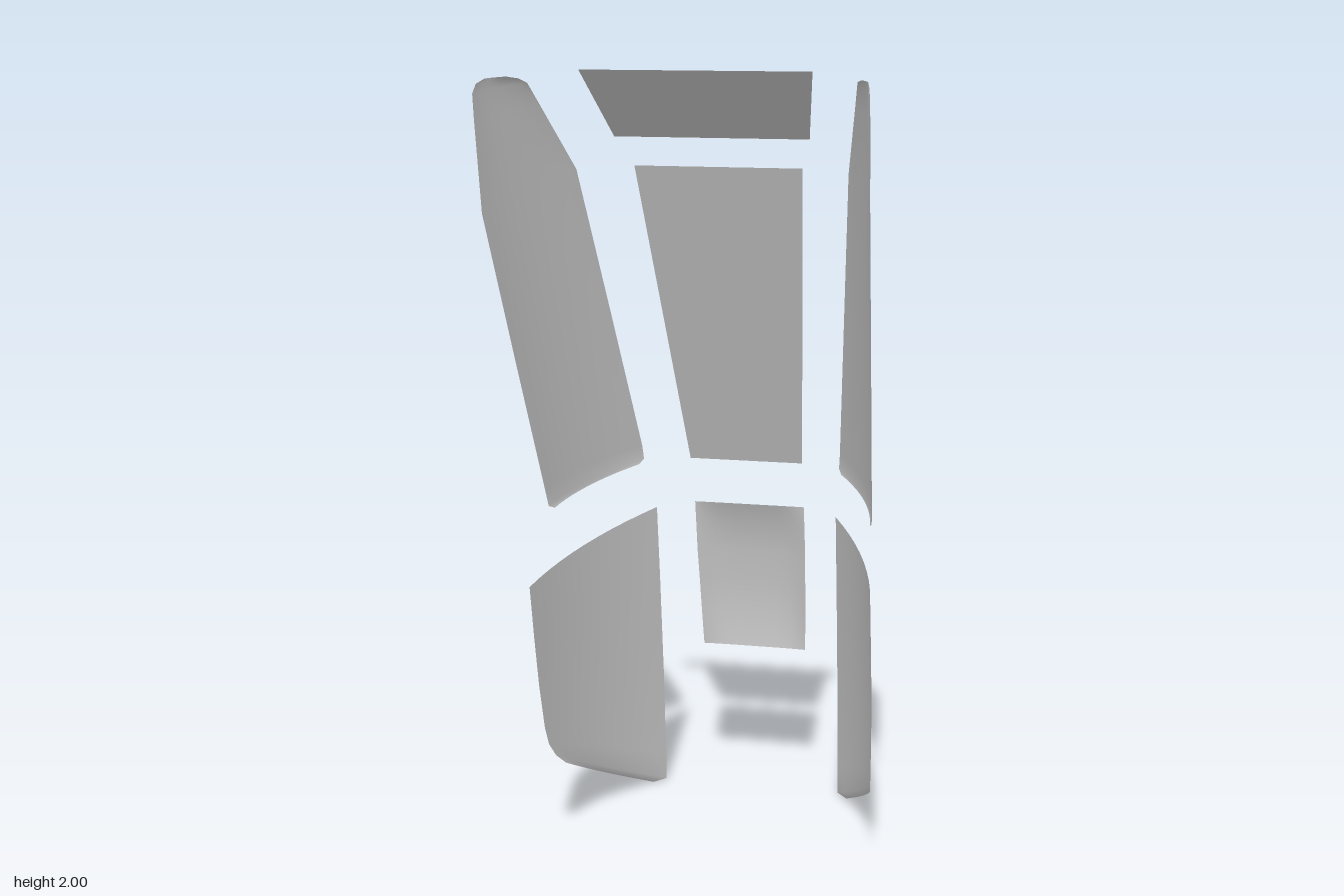
import * as THREE from 'three';

const material = new THREE.MeshStandardMaterial({ color: 0xcccccc, side: THREE.DoubleSide });

// Smooth sheet from a grid of points: rows run bottom to top
function sheet(name, rows) {
  const cols = rows[0].length;
  const index = [];
  for (let j = 0; j < rows.length - 1; j++) {
    for (let i = 0; i < cols - 1; i++) {
      const a = j * cols + i, b = a + cols;
      index.push(a, b, a + 1, a + 1, b, b + 1);
    }
  }
  const geometry = new THREE.BufferGeometry();
  geometry.setAttribute('position', new THREE.Float32BufferAttribute(rows.flat(2), 3));
  geometry.setIndex(index);
  geometry.computeVertexNormals();
  const mesh = new THREE.Mesh(geometry, material);
  mesh.name = name;
  return mesh;
}

// Curved side panel: each rail pair is [x, y, z] on the back edge, then on the front edge
function sidePanel(name, rails, side, bulge, steps = 10) {
  const rows = rails.map(([xb, yb, zb, xf, yf, zf]) => {
    const row = [];
    for (let i = 0; i <= steps; i++) {
      const u = i / steps;
      const out = 4 * u * (1 - u) * bulge * (zf - zb);
      row.push([
        side * (THREE.MathUtils.lerp(xb, xf, u) + out),
        THREE.MathUtils.lerp(yb, yf, u),
        THREE.MathUtils.lerp(zb, zf, u),
      ]);
    }
    return side > 0 ? row : row.reverse();
  });
  return sheet(name, rows);
}

// Flat trapezoid across the middle: [half width, y, z] at the bottom and top
function plate(name, bottom, top) {
  return sheet(name, [bottom, top].map(([w, y, z]) => [[-w, y, z], [w, y, z]]));
}

const upperRails = [
  [0.272, 0.95, -0.27, 0.402, 0.905, 0.065],
  [0.263, 0.962, -0.287, 0.41, 0.915, 0.09],
  [0.266, 1.0, -0.28, 0.412, 0.96, 0.11],
  [0.3, 1.375, -0.115, 0.428, 1.32, 0.275],
  [0.335, 1.755, 0.055, 0.442, 1.685, 0.445],
  [0.375, 1.92, 0.215, 0.446, 1.9, 0.472],
  [0.387, 1.97, 0.265, 0.446, 1.955, 0.479],
  [0.395, 1.982, 0.305, 0.444, 1.976, 0.46],
  [0.41, 1.988, 0.35, 0.437, 1.986, 0.42],
];

const lowerRails = [
  [0.275, 0, -0.408, 0.403, 0.2, 0.005],
  [0.245, 0.003, -0.438, 0.412, 0.24, 0.06],
  [0.245, 0.08, -0.435, 0.418, 0.285, 0.1],
  [0.245, 0.15, -0.428, 0.421, 0.34, 0.123],
  [0.245, 0.32, -0.414, 0.425, 0.46, 0.15],
  [0.245, 0.6, -0.38, 0.426, 0.6, 0.18],
  [0.245, 0.815, -0.35, 0.426, 0.735, 0.207],
];

// Lower back panel: [half width, y, z at the sides, z in the middle]
const backProfile = [
  [0.143, 0.4, -0.473, -0.476],
  [0.146, 0.5, -0.457, -0.479],
  [0.148, 0.6, -0.439, -0.463],
  [0.15, 0.68, -0.424, -0.449],
  [0.15, 0.76, -0.409, -0.43],
  [0.15, 0.825, -0.397, -0.398],
];

function lowerBackPanel() {
  const steps = 12;
  const rows = backProfile.map(([w, y, edge, middle]) =>
    Array.from({ length: steps + 1 }, (_, i) => {
      const s = (2 * i) / steps - 1;
      return [s * w, y, THREE.MathUtils.lerp(middle, edge, s ** 4)];
    }));
  return sheet('lowerBackPanel', rows);
}

export function createModel() {
  const model = new THREE.Group();
  model.name = 'panelSet';

  // Mirrored side panels
  for (const [label, side] of [['left', 1], ['right', -1]]) {
    model.add(sidePanel(label + 'UpperSidePanel', upperRails, side, 0.065));
    model.add(sidePanel(label + 'LowerSidePanel', lowerRails, side, 0.055));
  }

  // Centre panels, from the top down
  model.add(plate('topPanel', [0.24, 1.835, 0.05], [0.277, 2, 0.22]));
  model.add(plate('middleBackPanel', [0.152, 0.955, -0.355], [0.21, 1.76, -0.022]));
  model.add(lowerBackPanel());
  return model;
}
